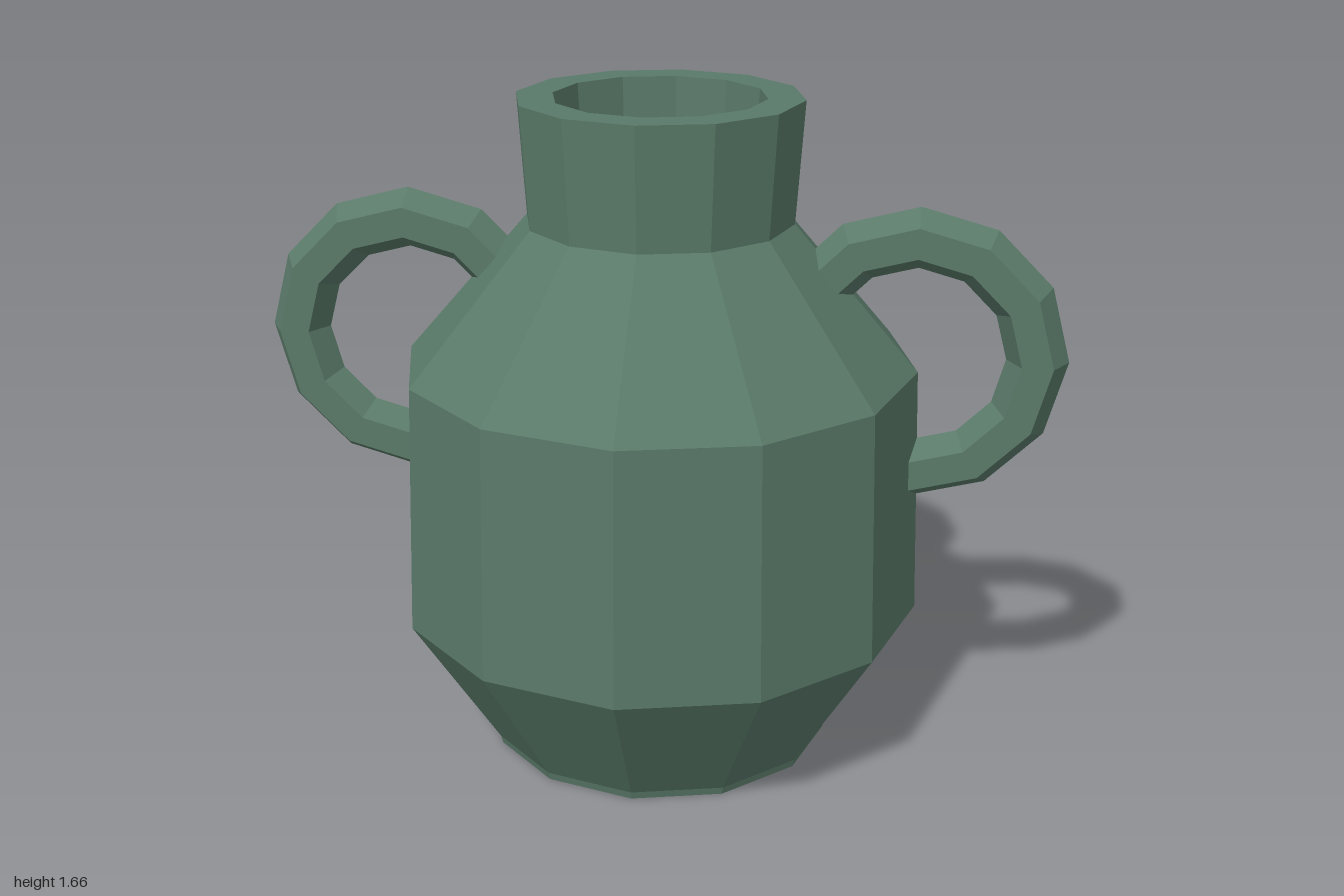
import * as THREE from 'three';

export function createModel() {
  const group = new THREE.Group();
  const glaze = new THREE.MeshStandardMaterial({ color: 0x5a7a69, flatShading: true });

  // Twelve-sided pot: foot, belly, shoulder, flared neck and hollow mouth
  const profile = [
    [0, 0], [0.435, 0], [0.44, 0.02], [0.66, 0.37], [0.64, 1.0],
    [0.33, 1.36], [0.35, 1.66], [0.26, 1.66], [0.24, 1.36], [0, 1.36],
  ].map(([r, y]) => new THREE.Vector2(r, y));
  const pot = new THREE.Mesh(new THREE.LatheGeometry(profile, 12), glaze);
  pot.name = 'pot';
  group.add(pot);

  // Hexagonal ring handles whose ends sink into the shoulder and belly
  const ring = new THREE.TorusGeometry(0.295, 0.075, 6, 9, Math.PI * 1.5);
  ring.rotateZ(-Math.PI * 2 / 3);
  for (const side of [1, -1]) {
    const handle = new THREE.Mesh(ring, glaze);
    handle.name = side > 0 ? 'leftHandle' : 'rightHandle';
    handle.position.set(side * 0.63, 1.045, 0);
    if (side < 0) handle.rotation.y = Math.PI;
    group.add(handle);
  }
  return group;
}
